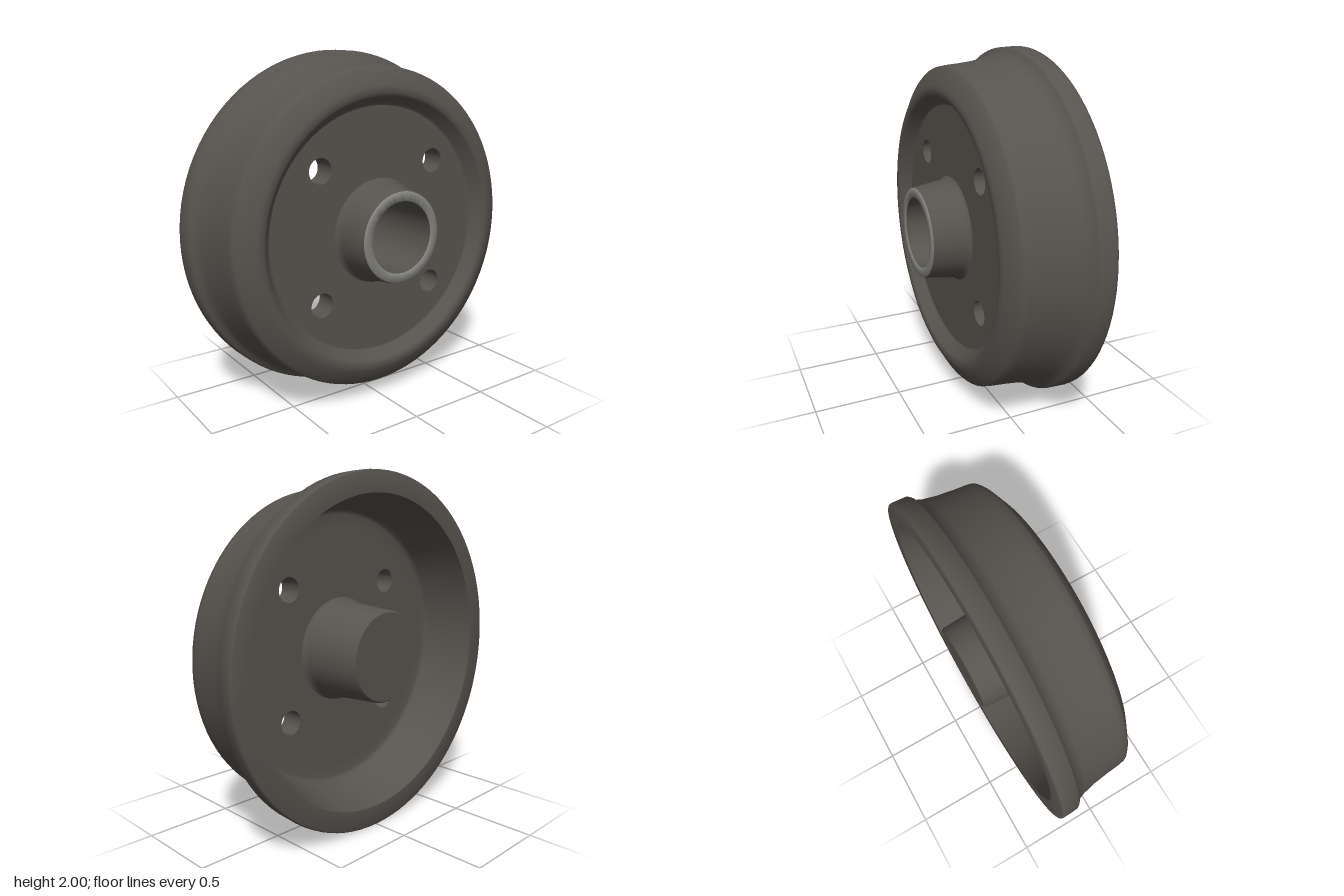
import * as THREE from 'three';
import { toCreasedNormals } from 'three/addons/utils/BufferGeometryUtils.js';

const SEGMENTS = 96;

export function createModel() {
  const castIron = new THREE.MeshStandardMaterial({ color: 0x57534e });
  castIron.name = 'cast iron';
  const machinedSteel = new THREE.MeshStandardMaterial({ color: 0x85857f });
  machinedSteel.name = 'machined steel';

  // Axle runs along x at height 1
  const drum = new THREE.Group();
  drum.name = 'brakeDrum';
  drum.position.y = 1;

  // Turn a profile of [radius, x] points around the x axis
  function turned(name, profile, material) {
    const points = profile.map(([r, x]) => new THREE.Vector2(r, x));
    const lathe = new THREE.LatheGeometry(points, SEGMENTS);
    const mesh = new THREE.Mesh(toCreasedNormals(lathe, 0.9), material);
    mesh.name = name;
    mesh.rotation.z = -Math.PI / 2;
    drum.add(mesh);
  }

  // Drum shell: back of web, inner wall, flanged rim, outer wall, bevel, step
  turned('drumShell', [
    [0.70, 0.005], [0.77, 0.005], [0.79, 0.0], [0.80, -0.02],
    [0.88, -0.30], [0.99, -0.30], [0.998, -0.295], [1.0, -0.28],
    [0.996, -0.20], [0.985, -0.187], [0.965, -0.178], [0.947, -0.13],
    [0.93, -0.05], [0.918, 0.05], [0.912, 0.12], [0.907, 0.153], [0.895, 0.165],
    [0.81, 0.213], [0.79, 0.218], [0.765, 0.218], [0.75, 0.21],
    [0.715, 0.153], [0.70, 0.145],
  ], castIron);

  // Web: flat annulus pierced by four bolt holes
  const disc = new THREE.Shape().absarc(0, 0, 0.70, 0, Math.PI * 2);
  disc.holes.push(new THREE.Path().absarc(0, 0, 0.30, 0, Math.PI * 2, true));
  for (const z of [-0.385, 0.385]) {
    for (const y of [-0.37, 0.37]) {
      disc.holes.push(new THREE.Path().absarc(z, y, 0.07, 0, Math.PI * 2, true));
    }
  }
  const webGeometry = new THREE.ExtrudeGeometry(disc, {
    depth: 0.14, bevelEnabled: false, curveSegments: SEGMENTS / 2,
  });
  const web = new THREE.Mesh(toCreasedNormals(webGeometry, 0.55), castIron);
  web.name = 'boltWeb';
  web.rotation.y = Math.PI / 2;
  web.position.x = 0.005;
  drum.add(web);

  // Hub: closed back boss, front boss with fillet, bore and end ring
  turned('hubBackBoss', [
    [0, -0.357], [0.247, -0.357], [0.256, -0.345], [0.278, -0.03],
    [0.284, -0.008], [0.30, 0.005],
  ], castIron);
  turned('hubFrontBoss', [
    [0.30, 0.145], [0.287, 0.155], [0.281, 0.175], [0.277, 0.215],
    [0.257, 0.34], [0.254, 0.35],
  ], castIron);
  turned('hubEndRing', [
    [0.254, 0.35], [0.248, 0.357], [0.205, 0.357], [0.20, 0.352],
  ], machinedSteel);
  turned('hubBore', [[0.20, 0.352], [0.20, -0.345], [0, -0.345]], castIron);

  const model = new THREE.Group();
  model.name = 'model';
  model.add(drum);
  return model;
}
